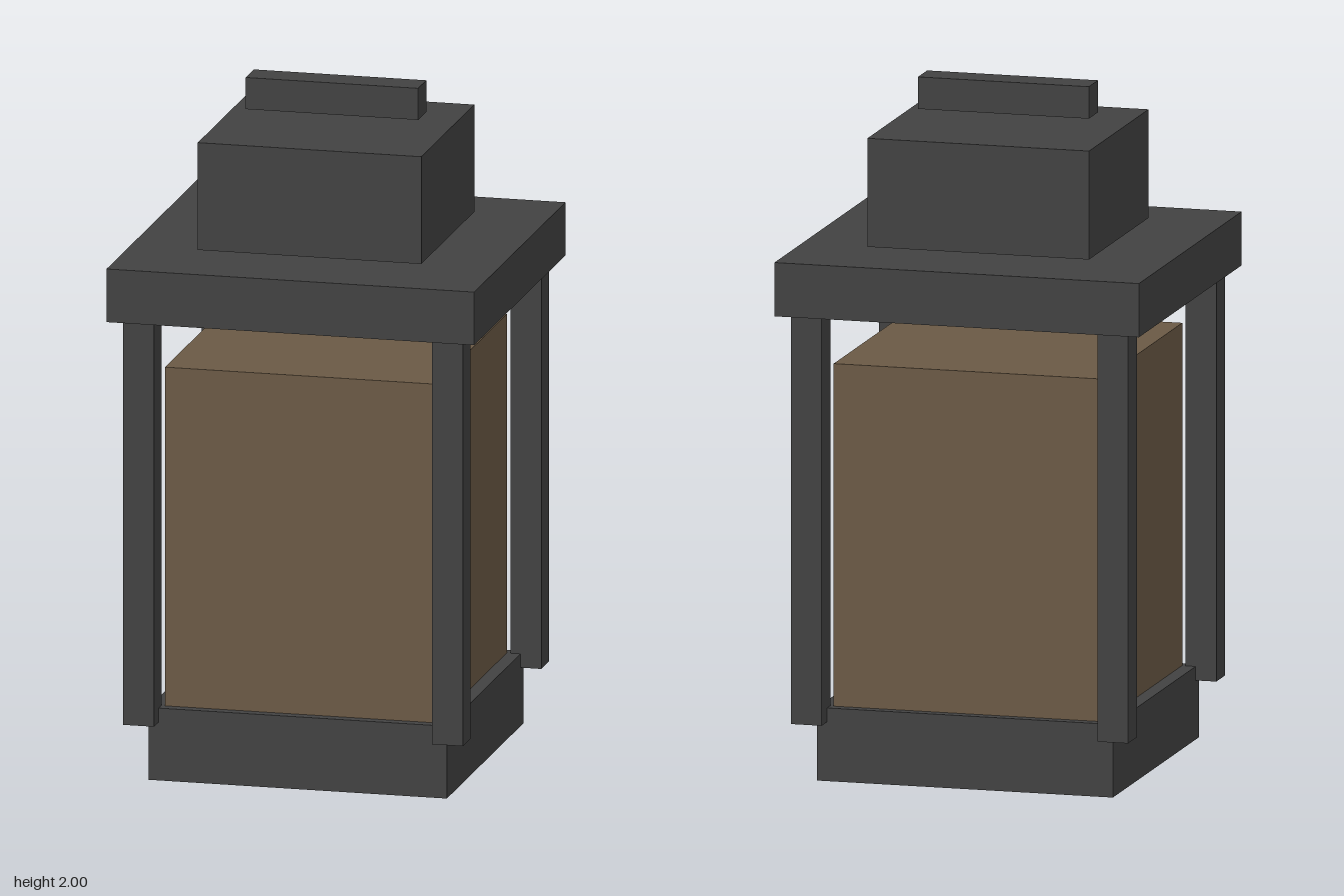
import * as THREE from 'three';

const metal = new THREE.MeshStandardMaterial({ color: 0x424242 });
metal.name = 'dark metal';
const amber = new THREE.MeshStandardMaterial({ color: 0x6b5a45 });
amber.name = 'amber glass';

// Box centred on (x, z), given by its half width, half depth, bottom and top
function block(name, material, halfX, halfZ, y0, y1, x = 0, z = 0) {
  const mesh = new THREE.Mesh(new THREE.BoxGeometry(halfX * 2, y1 - y0, halfZ * 2), material);
  mesh.name = name;
  mesh.position.set(x, (y0 + y1) / 2, z);
  return mesh;
}

export function createModel() {
  const lantern = new THREE.Group();
  lantern.name = 'lantern';

  lantern.add(
    block('base', metal, 0.443, 0.449, 0, 0.215),
    block('glass', amber, 0.402, 0.419, 0.215, 1.222),
    block('roof', metal, 0.546, 0.536, 1.376, 1.534),
    block('cap', metal, 0.332, 0.311, 1.548, 1.867),
    block('handle', metal, 0.256, 0.048, 1.906, 2)
  );

  // Four corner posts, hanging slightly below the top of the base
  const posts = new THREE.Group();
  posts.name = 'cornerPosts';
  for (const sx of [-1, 1]) {
    for (const sz of [-1, 1]) {
      const name = (sz > 0 ? 'front' : 'back') + (sx > 0 ? 'Left' : 'Right') + 'Post';
      posts.add(block(name, metal, 0.046, 0.046, 0.174, 1.376, sx * 0.459, sz * 0.461));
    }
  }
  lantern.add(posts);
  return lantern;
}
